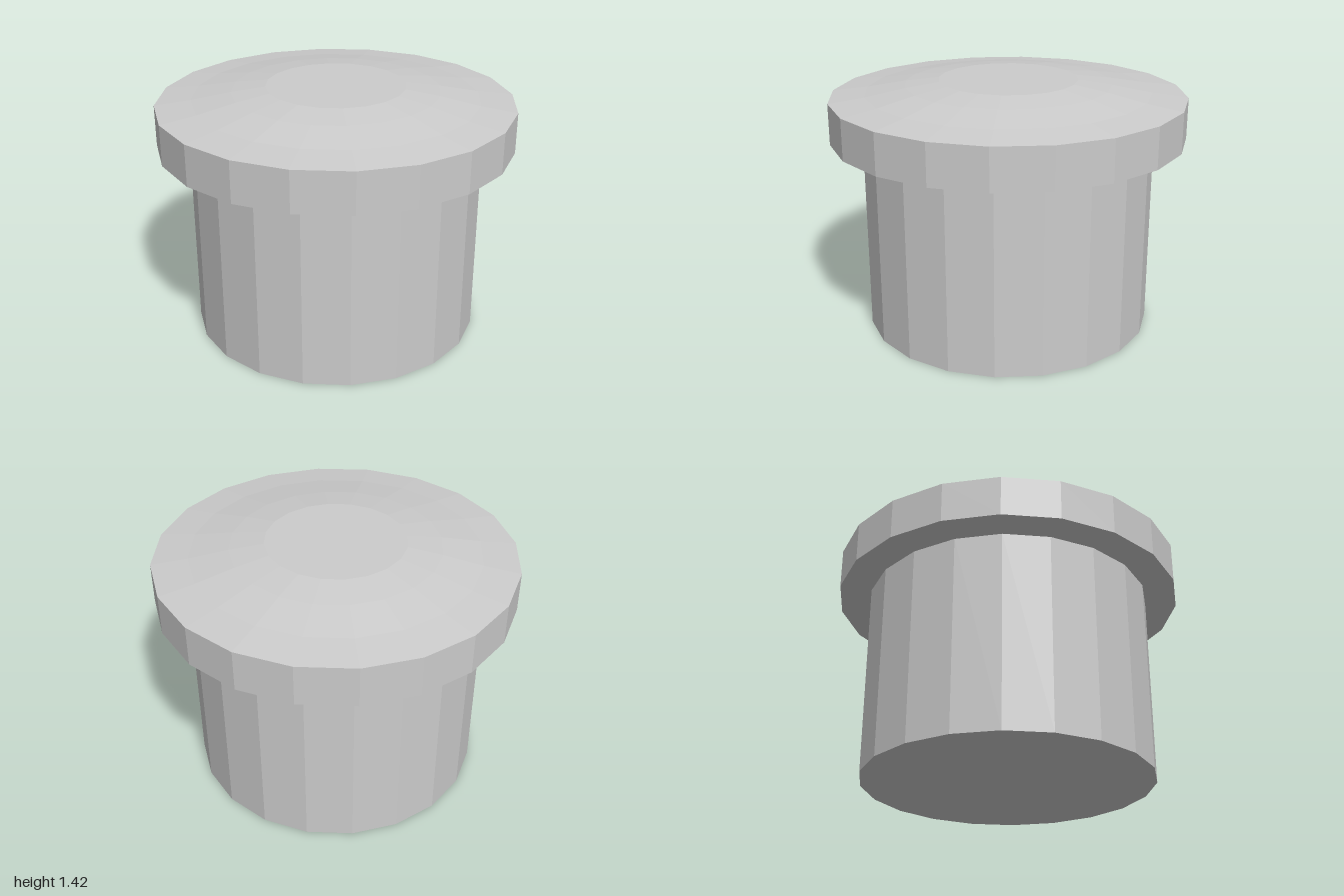
import * as THREE from 'three';

const SIDES = 20;
const material = new THREE.MeshStandardMaterial({ color: 0xcccccc, flatShading: true });

// Faceted solid of revolution from [radius, height] points, listed bottom to top
function turned(name, profile) {
  const points = profile.map(([r, y]) => new THREE.Vector2(r, y));
  const mesh = new THREE.Mesh(new THREE.LatheGeometry(points, SIDES), material);
  mesh.name = name;
  return mesh;
}

export function createModel() {
  const group = new THREE.Group();
  group.name = 'flangedPlug';

  // Straight shank with a flat bottom
  group.add(turned('shank', [[0, 0], [0.82, 0], [0.82, 1.1]]));

  // Wide rim with a flat underside
  group.add(turned('rim', [[0.82, 1.1], [1, 1.1], [1, 1.33]]));

  // Shallow crown rising to a flat centre
  group.add(turned('crown', [[1, 1.33], [0.8, 1.355], [0.58, 1.395], [0.39, 1.42], [0, 1.42]]));

  return group;
}
